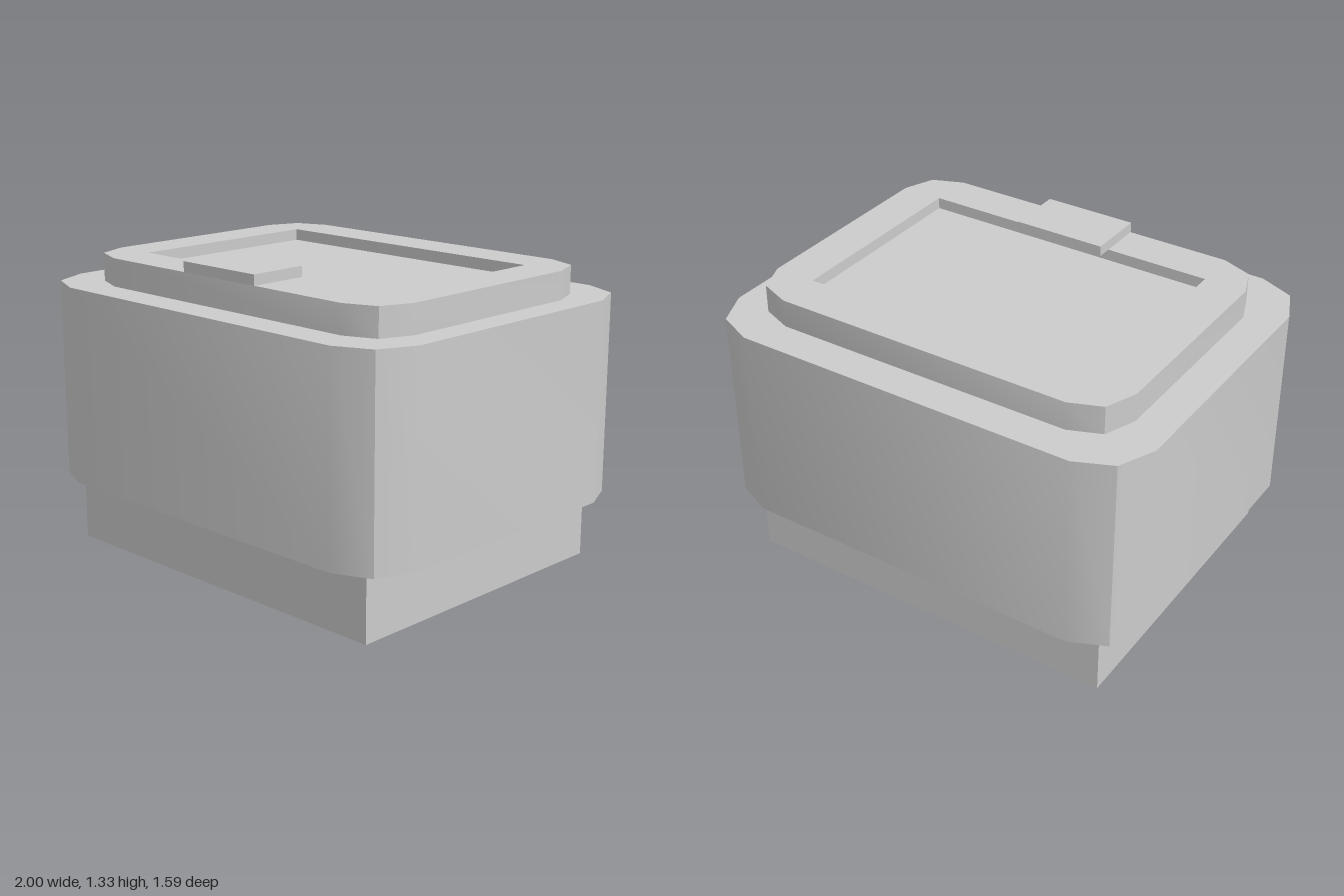
import * as THREE from 'three';
import { toCreasedNormals } from 'three/addons/utils/BufferGeometryUtils.js';

const material = new THREE.MeshStandardMaterial({ color: 0xcccccc });

// Rectangle in x/z whose corners are cut by two facets.
// Each corner runs from (0, cz) through (mx, mz) to (cx, 0), measured inwards.
function facetedOutline(x0, x1, z0, z1, { cx, cz, mx, mz }) {
  const points = [];
  const corner = (x, z, sx, sz, reverse) => {
    const p = [[0, cz], [mx, mz], [cx, 0]]
      .map(([a, b]) => new THREE.Vector2(x + sx * a, z + sz * b));
    points.push(...(reverse ? p.reverse() : p));
  };
  corner(x0, z0, 1, 1, false);
  corner(x1, z0, -1, 1, true);
  corner(x1, z1, -1, -1, false);
  corner(x0, z1, 1, -1, true);
  return new THREE.Shape(points);
}

// Upright slab: shape y becomes z, depth runs from y0 up to y1.
function slab(name, shape, y0, y1) {
  const geometry = new THREE.ExtrudeGeometry(shape, { depth: y1 - y0, bevelEnabled: false });
  geometry.rotateX(Math.PI / 2).translate(0, y1, 0);
  const mesh = new THREE.Mesh(toCreasedNormals(geometry, 0.6), material);
  mesh.name = name;
  return mesh;
}

function block(name, x0, x1, y0, y1, z0, z1) {
  const mesh = new THREE.Mesh(new THREE.BoxGeometry(x1 - x0, y1 - y0, z1 - z0), material);
  mesh.position.set((x0 + x1) / 2, (y0 + y1) / 2, (z0 + z1) / 2);
  mesh.name = name;
  return mesh;
}

export function createModel() {
  const group = new THREE.Group();
  group.name = 'box';

  // Narrow plinth under the body
  group.add(block('base', -0.86, 0.86, 0, 0.295, -0.685, 0.685));

  // Main body with faceted corners
  const body = facetedOutline(-1, 1, -0.797, 0.79, { cx: 0.23, cz: 0.23, mx: 0.07, mz: 0.07 });
  group.add(slab('body', body, 0.295, 1.165));

  // Lid rim around a shallow rectangular recess
  const rim = facetedOutline(-0.843, 0.877, -0.637, 0.643, { cx: 0.19, cz: 0.19, mx: 0.053, mz: 0.054 });
  rim.holes.push(new THREE.Path([
    new THREE.Vector2(-0.657, -0.445), new THREE.Vector2(-0.657, 0.453),
    new THREE.Vector2(0.69, 0.453), new THREE.Vector2(0.69, -0.445),
  ]));
  group.add(slab('lidRim', rim, 1.165, 1.287));
  group.add(block('lidPanel', -0.657, 0.69, 1.165, 1.237, -0.445, 0.453));

  // Latch tab lying on the front of the rim
  group.add(block('latchTab', -0.195, 0.22, 1.287, 1.332, 0.385, 0.645));

  return group;
}
